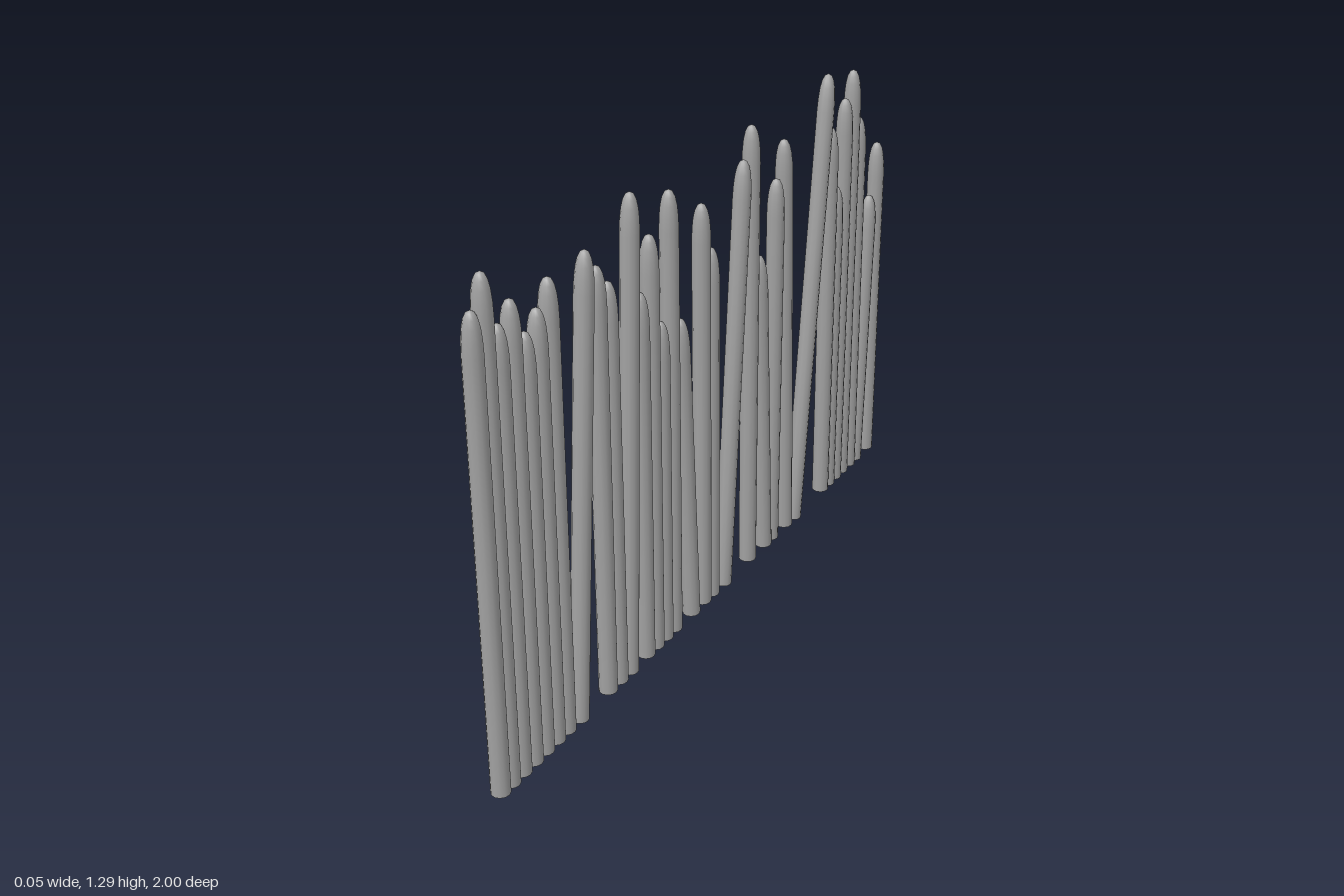
import * as THREE from 'three';

const RADIUS = 0.024;
const SIDES = 12;

// Each stake: [z at the foot, z at the tip, height of the tip]
const STAKES = [
  [0.976, 0.976, 1.195], [0.937, 0.937, 1.265], [0.892, 0.892, 1.136], [0.846, 0.846, 1.174],
  [0.8, 0.8, 1.083], [0.754, 0.754, 1.12], [0.709, 0.709, 1.174], [0.653, 0.565, 1.187],
  [0.524, 0.524, 1.136], [0.474, 0.479, 1.083], [0.425, 0.377, 1.262], [0.345, 0.345, 1.008],
  [0.299, 0.299, 1.136], [0.254, 0.254, 0.901], [0.208, 0.208, 1.217], [0.114, 0.162, 0.874],
  [0.055, 0.055, 1.136], [0.01, 0.01, 1.008], [-0.057, -0.159, 1.185], [-0.199, -0.199, 1.265],
  [-0.293, -0.245, 0.901], [-0.334, -0.339, 1.083], [-0.422, -0.379, 1.179], [-0.478, -0.636, 1.291],
  [-0.66, -0.66, 1.136], [-0.703, -0.703, 0.954], [-0.749, -0.749, 1.195], [-0.795, -0.795, 1.265],
  [-0.848, -0.84, 1.12], [-0.893, -0.934, 0.858], [-0.976, -0.976, 1.008],
];

// Blunt tip profile: [radius factor, distance below the tip]
const TIP = [[1, 0.1], [0.95, 0.065], [0.84, 0.038], [0.66, 0.018], [0.4, 0.005], [0, 0]];

export function createModel() {
  const model = new THREE.Group();
  model.name = 'palisade';
  const grey = new THREE.MeshStandardMaterial({ color: 0xa0a0a0 });
  grey.name = 'grey wood';

  // Flat underside shared by all stakes
  const footGeometry = new THREE.CircleGeometry(RADIUS, SIDES).rotateX(Math.PI / 2);

  STAKES.forEach(([footZ, tipZ, tipY], i) => {
    const lean = Math.abs(tipZ - footZ);
    const footY = Math.max(0.003, 0.01 - lean * 0.045);
    const length = Math.hypot(tipZ - footZ, tipY - footY);

    const stake = new THREE.Group();
    stake.name = `stake${i + 1}`;

    // Round shaft with its blunt tip
    const profile = [new THREE.Vector2(RADIUS, 0)];
    for (const [r, drop] of TIP) profile.push(new THREE.Vector2(r * RADIUS, length - drop));
    const shaft = new THREE.Mesh(new THREE.LatheGeometry(profile, SIDES), grey);
    shaft.name = 'shaft';

    const foot = new THREE.Mesh(footGeometry, grey);
    foot.name = 'foot';
    stake.add(shaft, foot);

    // Lean along the row
    stake.position.set(0, footY, footZ);
    stake.rotation.x = Math.atan2(tipZ - footZ, tipY - footY);
    model.add(stake);
  });
  return model;
}
